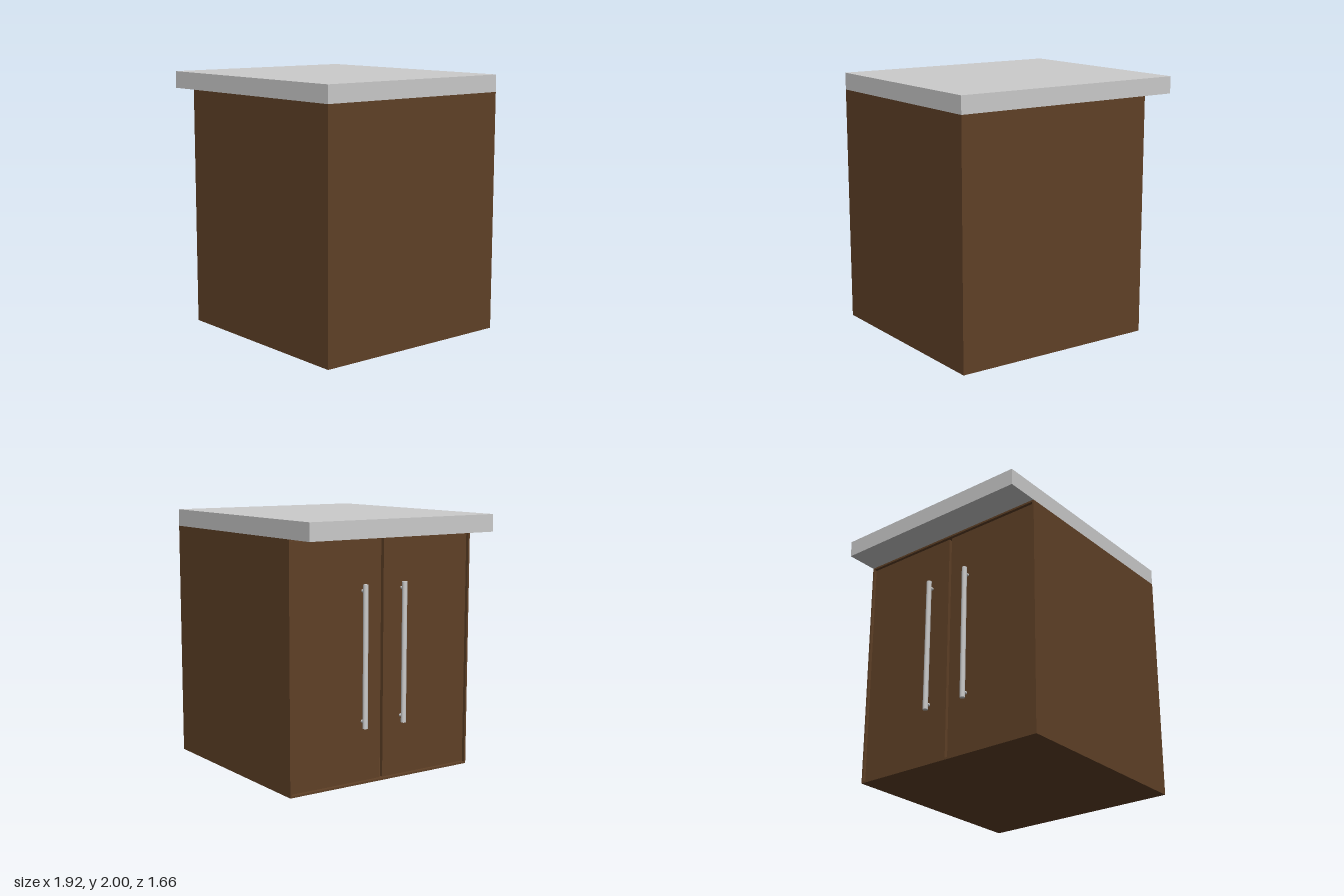
import * as THREE from 'three';

export function createModel() {
  const model = new THREE.Group();
  const wood = new THREE.MeshStandardMaterial({ color: 0x604127 });
  const grey = new THREE.MeshStandardMaterial({ color: 0xcccccc });

  // box given by its minimum and maximum corners
  function box(name, [x0, y0, z0], [x1, y1, z1], material, parent = model) {
    const mesh = new THREE.Mesh(new THREE.BoxGeometry(x1 - x0, y1 - y0, z1 - z0), material);
    mesh.position.set((x0 + x1) / 2, (y0 + y1) / 2, (z0 + z1) / 2);
    mesh.name = name;
    parent.add(mesh);
    return mesh;
  }

  const open = -0.70, back = 0.96, half = 0.83, height = 1.867, t = 0.015;
  const doorFace = -0.68, doorBack = -0.65;

  // worktop overhanging the door side
  box('worktop', [-0.96, height, -half], [0.96, 2, half], grey);

  // carcass of thin panels
  const carcass = new THREE.Group();
  carcass.name = 'carcass';
  model.add(carcass);
  box('basePanel', [open, 0, -half + t], [back, t, half - t], wood, carcass);
  box('topPanel', [open, height - t, -half + t], [back, height, half - t], wood, carcass);
  box('backPanel', [back - t, t, -half + t], [back, height - t, half - t], wood, carcass);

  for (const s of [-1, 1]) {
    const side = s > 0 ? 'left' : 'right';
    const span = (a, b) => [Math.min(s * a, s * b), Math.max(s * a, s * b)];
    const [p0, p1] = span(half - t, half);
    box(side + 'SidePanel', [open, 0, p0], [back, height, p1], wood, carcass);

    // slightly recessed door
    const [d0, d1] = span(0.012, half - t - 0.004);
    box(side + 'Door', [doorFace, t + 0.004, d0], [doorBack, height - t - 0.004, d1], wood);

    // bar handle on two standoffs
    const handle = new THREE.Group();
    handle.name = side + 'Handle';
    handle.position.set(-0.72, 0.97, s * 0.18);
    const bar = new THREE.Mesh(new THREE.CylinderGeometry(0.02, 0.02, 1.08, 24), grey);
    bar.name = 'handleBar';
    handle.add(bar);
    for (const y of [-0.49, 0.49]) {
      const post = new THREE.Mesh(new THREE.CylinderGeometry(0.012, 0.012, 0.045, 16), grey);
      post.name = 'handleStandoff';
      post.rotation.z = Math.PI / 2;
      post.position.set(0.0225, y, 0);
      handle.add(post);
    }
    model.add(handle);
  }
  return model;
}
